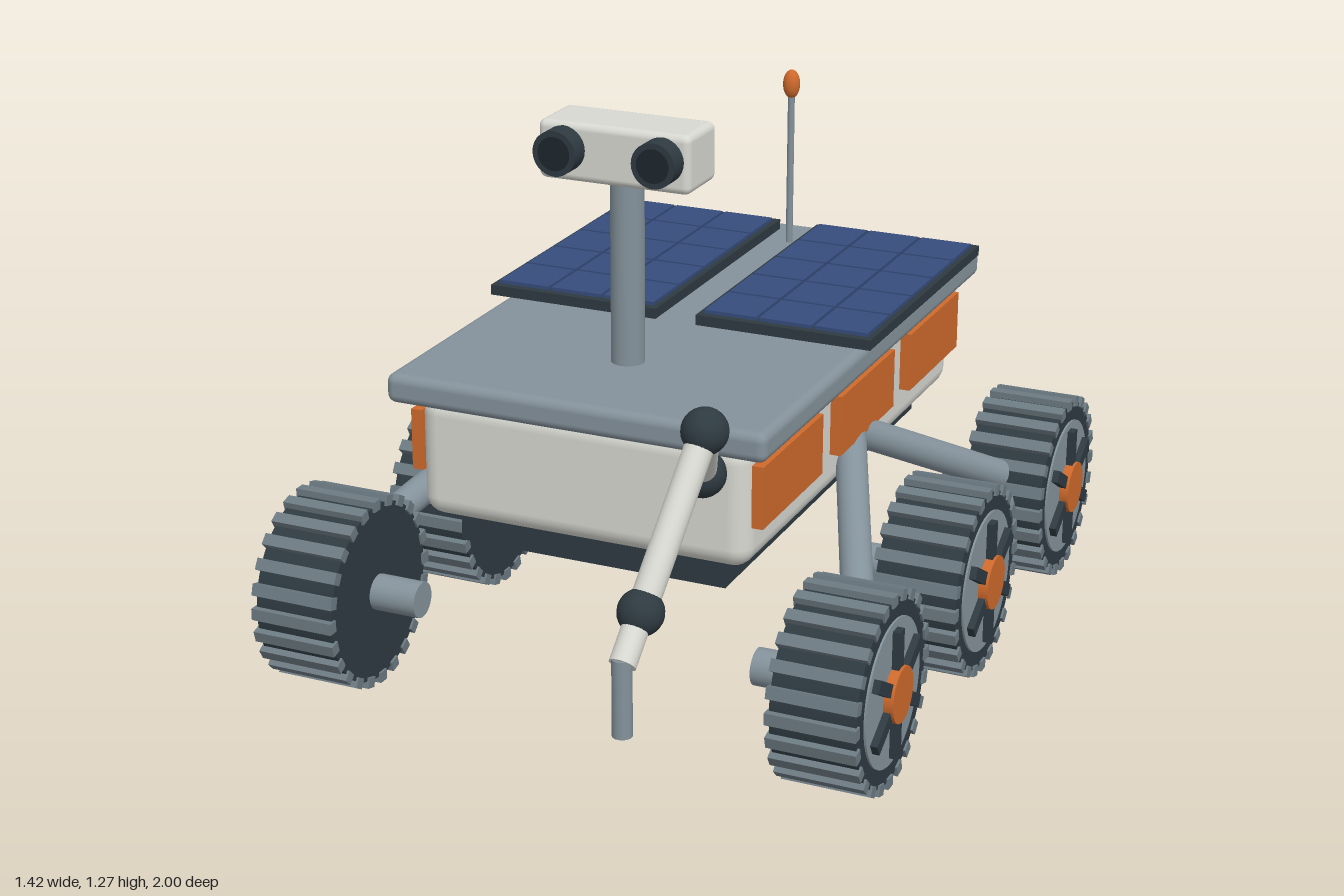
import * as THREE from 'three';
import { RoundedBoxGeometry } from 'three/addons/geometries/RoundedBoxGeometry.js';

const mat = (name, color) => {
  const m = new THREE.MeshStandardMaterial({ color });
  m.name = name;
  return m;
};

export function createModel() {
  const white = mat('warm white', 0xd8d8d2);
  const metal = mat('grey metal', 0x84929b);
  const treadGrey = mat('tread grey', 0x6c7a82);
  const dark = mat('charcoal', 0x2e3a41);
  const glass = mat('lens black', 0x1d272e);
  const orange = mat('orange', 0xcf6a2c);
  const blue = mat('solar blue', 0x364c7c);

  const model = new THREE.Group();
  model.name = 'rover';

  const add = (name, geo, material, x = 0, y = 0, z = 0, parent = model) => {
    const m = new THREE.Mesh(geo, material);
    m.name = name;
    m.position.set(x, y, z);
    parent.add(m);
    return m;
  };
  const box = (w, h, d) => new THREE.BoxGeometry(w, h, d);
  const rbox = (w, h, d, r) => new RoundedBoxGeometry(w, h, d, 3, r);
  const ball = (r) => new THREE.SphereGeometry(r, 24, 16);
  const xCyl = (r, len, seg = 40) => new THREE.CylinderGeometry(r, r, len, seg).rotateZ(Math.PI / 2);

  // Round bar between two points
  const bar = (name, a, b, r, material, parent = model) => {
    const p = new THREE.Vector3(...a), q = new THREE.Vector3(...b);
    const dir = q.clone().sub(p);
    const m = add(name, new THREE.CylinderGeometry(r, r, dir.length(), 20), material, 0, 0, 0, parent);
    m.position.copy(p).add(q).multiplyScalar(0.5);
    m.quaternion.setFromUnitVectors(new THREE.Vector3(0, 1, 0), dir.normalize());
    return m;
  };

  // Chassis
  add('body', rbox(0.75, 0.275, 1.24, 0.045), white, 0, 0.5625, -0.19);
  add('deck', rbox(0.855, 0.065, 1.325, 0.02), metal, 0, 0.717, -0.193);
  add('bellyPan', box(0.61, 0.09, 1.13), dark, 0, 0.405, -0.19);

  // Side equipment panels
  for (const s of [1, -1]) {
    for (const z of [0.245, -0.19, -0.625]) {
      add('sidePanel', box(0.025, 0.135, 0.328), orange, s * 0.388, 0.588, z);
    }
  }

  // Solar panels, 3 by 5 cells each
  for (const s of [1, -1]) {
    const panel = new THREE.Group();
    panel.name = 'solarPanel';
    panel.position.set(s * 0.249, 0, -0.415);
    model.add(panel);
    add('panelFrame', box(0.403, 0.023, 0.72), dark, 0, 0.7695, 0, panel);
    add('panelMount', box(0.2, 0.02, 0.5), dark, 0, 0.752, 0, panel);
    for (let i = -1; i <= 1; i++) {
      for (let j = -2; j <= 2; j++) {
        add('solarCell', box(0.12, 0.008, 0.13), blue, i * 0.128, 0.785, j * 0.138, panel);
      }
    }
  }

  // Antenna
  bar('antennaRod', [0, 0.74, -0.715], [0, 1.12, -0.715], 0.008, metal);
  add('antennaTip', ball(0.02), orange, 0, 1.133, -0.715).scale.y = 1.7;

  // Mast and camera head
  bar('mast', [0, 0.74, 0.188], [0, 1.16, 0.188], 0.036, metal);
  add('cameraHead', rbox(0.34, 0.125, 0.14, 0.016), white, 0, 1.21, 0.188);
  for (const s of [1, -1]) {
    const lens = new THREE.CylinderGeometry(0.048, 0.048, 0.06, 28).rotateX(Math.PI / 2);
    add('cameraBarrel', lens, dark, s * 0.11, 1.217, 0.274);
    add('cameraGlass', new THREE.CircleGeometry(0.036, 28), glass, s * 0.11, 1.217, 0.3055);
  }

  // Robot arm
  const shoulder = [0.285, 0.64, 0.45], elbow = [0.39, 0.83, 0.68];
  const wrist = [0.357, 0.54, 0.9], tool = [0.355, 0.465, 0.978];
  for (const [name, p, r] of [['shoulderJoint', shoulder, 0.05], ['elbowJoint', elbow, 0.047], ['wristJoint', wrist, 0.046]]) {
    add(name, ball(r), dark, ...p);
  }
  bar('upperArm', shoulder, elbow, 0.029, white);
  bar('forearm', elbow, wrist, 0.029, white);
  bar('hand', wrist, tool, 0.027, white);
  bar('toolProbe', [0.355, 0.48, 0.98], [0.355, 0.32, 0.98], 0.02, metal);

  // Wheel with its outer face towards +x
  const makeWheel = () => {
    const wheel = new THREE.Group();
    wheel.name = 'wheel';
    add('tyre', xCyl(0.2, 0.184, 48), dark, 0, 0, 0, wheel);
    add('rim', xCyl(0.158, 0.008), metal, 0.0925, 0, 0, wheel);
    add('hub', xCyl(0.06, 0.036, 28), orange, 0.1, 0, 0, wheel);
    add('axle', xCyl(0.04, 0.12, 24), metal, -0.14, 0, 0, wheel);
    for (let i = 0; i < 6; i++) {
      const a = i * Math.PI / 3;
      const spoke = add('spoke', box(0.024, 0.09, 0.028), dark, 0.1, Math.cos(a) * 0.096, Math.sin(a) * 0.096, wheel);
      spoke.rotation.x = a;
    }
    for (let i = 0; i < 24; i++) {
      const a = i * Math.PI / 12;
      const tread = add('tread', box(0.194, 0.024, 0.026), treadGrey, 0, Math.cos(a) * 0.202, Math.sin(a) * 0.202, wheel);
      tread.rotation.x = a;
    }
    return wheel;
  };

  // Wheels and rocker suspension on both sides
  for (const s of [1, -1]) {
    for (const z of [0.405, -0.19, -0.785]) {
      const wheel = makeWheel();
      wheel.position.set(s * 0.59, 0.214, z);
      if (s < 0) wheel.rotation.y = Math.PI;
      model.add(wheel);
    }
    const pivot = [s * 0.36, 0.52, -0.19];
    bar('frontRocker', pivot, [s * 0.555, 0.32, 0.265], 0.035, metal);
    bar('rearRocker', pivot, [s * 0.59, 0.315, -0.55], 0.035, metal);
    bar('bogieBeam', [s * 0.59, 0.235, -0.19], [s * 0.59, 0.235, -0.785], 0.03, metal);
  }

  return model;
}
